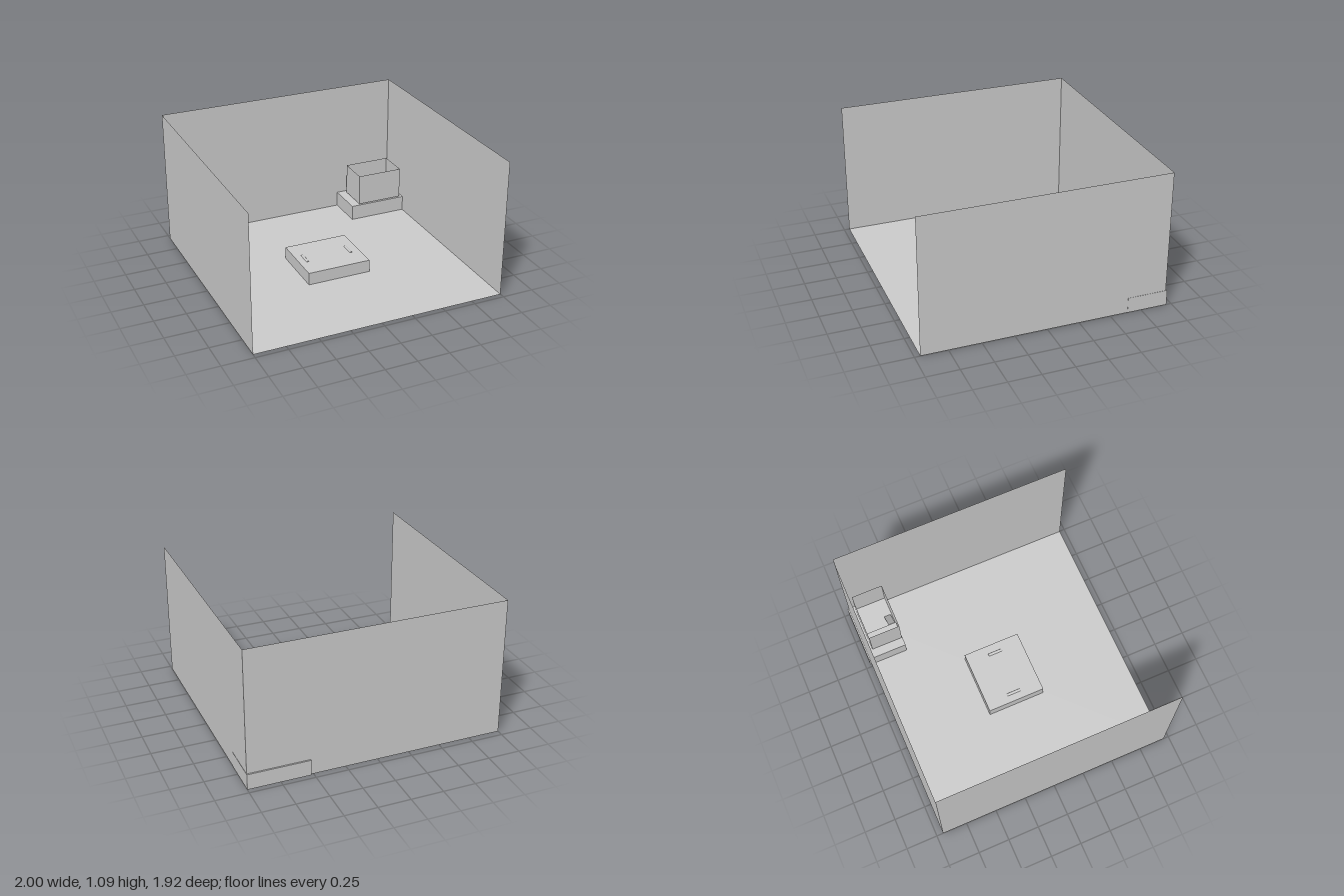
import * as THREE from 'three';

const grey = new THREE.MeshStandardMaterial({ color: 0xcccccc, side: THREE.DoubleSide });
const pale = new THREE.MeshStandardMaterial({ color: 0xeeeeee, side: THREE.DoubleSide });

function add(parent, name, geometry, material = grey) {
  const mesh = new THREE.Mesh(geometry, material);
  mesh.name = name;
  parent.add(mesh);
  return mesh;
}

// Solid box given by its low and high corners
function boxBetween([x0, y0, z0], [x1, y1, z1]) {
  return new THREE.BoxGeometry(x1 - x0, y1 - y0, z1 - z0)
    .translate((x0 + x1) / 2, (y0 + y1) / 2, (z0 + z1) / 2);
}

// Floor plus upright sheets round a rectangle, open at the top
function openTray(parent, prefix, [x0, y0, z0], [x1, y1, z1], material, withFront) {
  const w = x1 - x0, h = y1 - y0, d = z1 - z0;
  const cx = (x0 + x1) / 2, cy = (y0 + y1) / 2, cz = (z0 + z1) / 2;
  add(parent, prefix + 'Floor', new THREE.PlaneGeometry(w, d).rotateX(-Math.PI / 2).translate(cx, y0, cz), material);
  add(parent, prefix + 'BackWall', new THREE.PlaneGeometry(w, h).translate(cx, cy, z0), material);
  if (withFront) add(parent, prefix + 'FrontWall', new THREE.PlaneGeometry(w, h).translate(cx, cy, z1), material);
  for (const [side, x, turn] of [['Left', x1, -1], ['Right', x0, 1]]) {
    add(parent, prefix + side + 'Wall',
      new THREE.PlaneGeometry(d, h).rotateY(turn * Math.PI / 2).translate(x, cy, cz), material);
  }
}

export function createModel() {
  const model = new THREE.Group();
  model.name = 'room';

  // Room shell, open at the front and top
  openTray(model, 'room', [-1, 0, -0.948], [0.998, 1.09, 0.958], grey, false);

  // Low table in the middle with a rounded grip near each side
  const table = new THREE.Group();
  table.name = 'lowTable';
  model.add(table);
  add(table, 'tableBlock', boxBetween([-0.262, 0, -0.233], [0.253, 0.1, 0.233]));
  for (const x of [-0.195, 0.176]) {
    add(table, 'grip', new THREE.CylinderGeometry(0.012, 0.012, 0.114, 12).rotateX(Math.PI / 2))
      .position.set(x, 0.095, 0.002);
  }

  // Corner stand
  add(model, 'cornerStand', boxBetween([0.52, 0, -0.96], [1, 0.123, -0.64]));

  // Open pet cage on the stand, with a shelf and a ramp down to its floor
  const cage = new THREE.Group();
  cage.name = 'cage';
  model.add(cage);
  openTray(cage, 'cage', [0.588, 0.131, -0.9], [0.967, 0.387, -0.645], pale, true);
  add(cage, 'shelf', boxBetween([0.59, 0.245, -0.898], [0.68, 0.257, -0.648]));
  const rise = 0.125, run = 0.13;
  const ramp = add(cage, 'ramp', new THREE.BoxGeometry(Math.hypot(rise, run), 0.008, 0.055));
  ramp.position.set(0.745, 0.192, -0.683);
  ramp.rotation.z = -Math.atan2(rise, run);

  return model;
}
